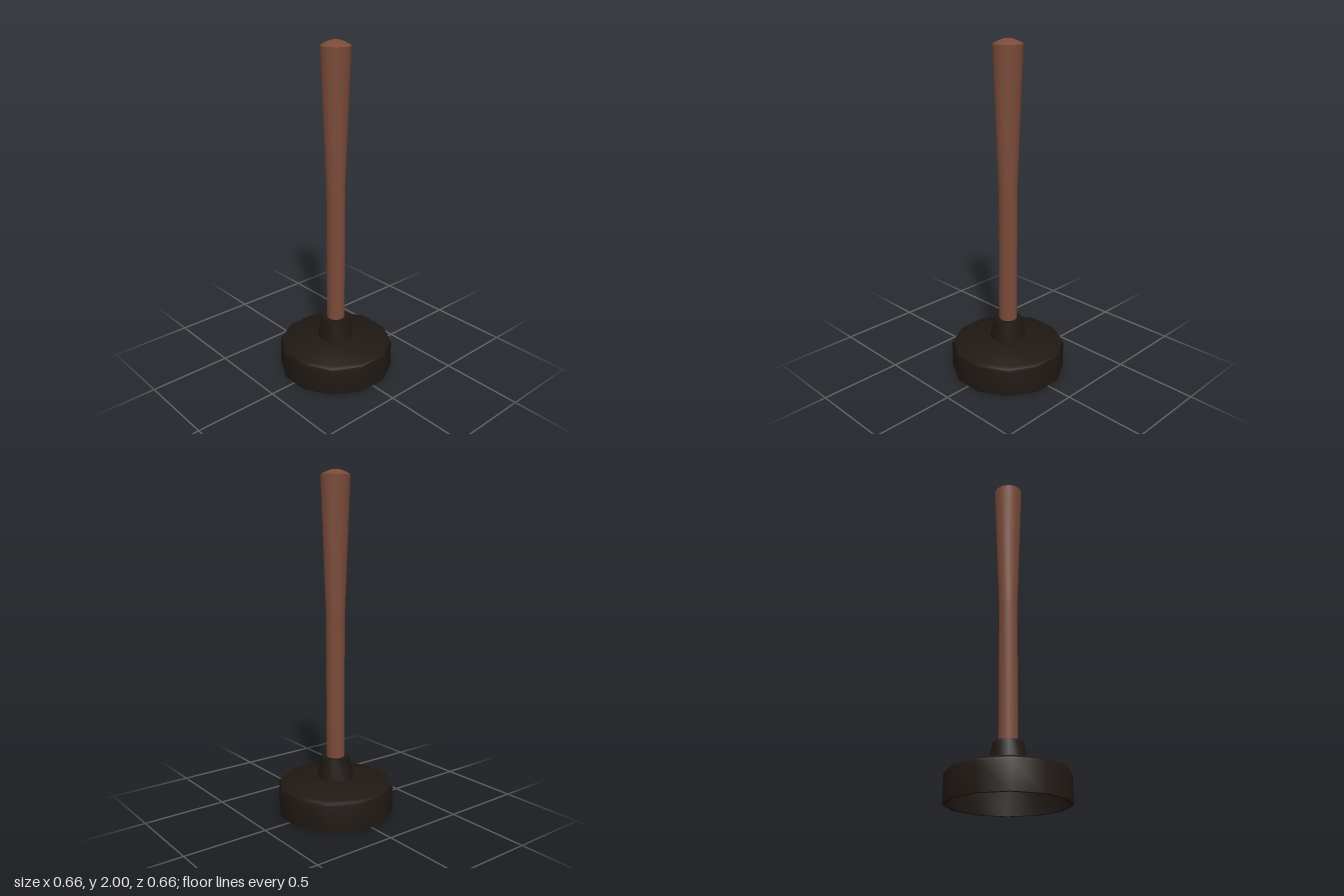
import * as THREE from 'three';
import { toCreasedNormals } from 'three/addons/utils/BufferGeometryUtils.js';

const SIDES = 12;
const TO_CORNER = 1 / Math.cos(Math.PI / SIDES);

// Twelve-sided turned part; profile points are [distance to flat side, height]
function turned(name, profile, color) {
  const points = profile.map(([r, y]) => new THREE.Vector2(r * TO_CORNER, y));
  const lathe = new THREE.LatheGeometry(points, SIDES, Math.PI / SIDES);
  const mesh = new THREE.Mesh(
    toCreasedNormals(lathe, 0.62),
    new THREE.MeshStandardMaterial({ color, side: THREE.DoubleSide })
  );
  mesh.name = name;
  return mesh;
}

export function createModel() {
  const group = new THREE.Group();
  group.name = 'plunger';

  // Hollow rubber cup: ceiling, inner wall, rim, outer wall, shoulder
  group.add(turned('rubberCup', [
    [0, 0.185], [0.1, 0.18], [0.295, 0.16], [0.312, 0.14], [0.312, 0],
    [0.332, 0], [0.332, 0.155], [0.328, 0.168], [0.312, 0.18], [0.105, 0.212], [0, 0.212],
  ], 0x1f1813));

  // Tapered collar holding the handle
  group.add(turned('collar', [
    [0.105, 0.21], [0.082, 0.335], [0.05, 0.335],
  ], 0x1f1813));

  // Wooden handle, flaring toward a domed end
  group.add(turned('handle', [
    [0, 0.2], [0.052, 0.2], [0.053, 1.17], [0.082, 1.97],
    [0.05, 1.988], [0.025, 1.997], [0, 2],
  ], 0x7a4b39));

  return group;
}
